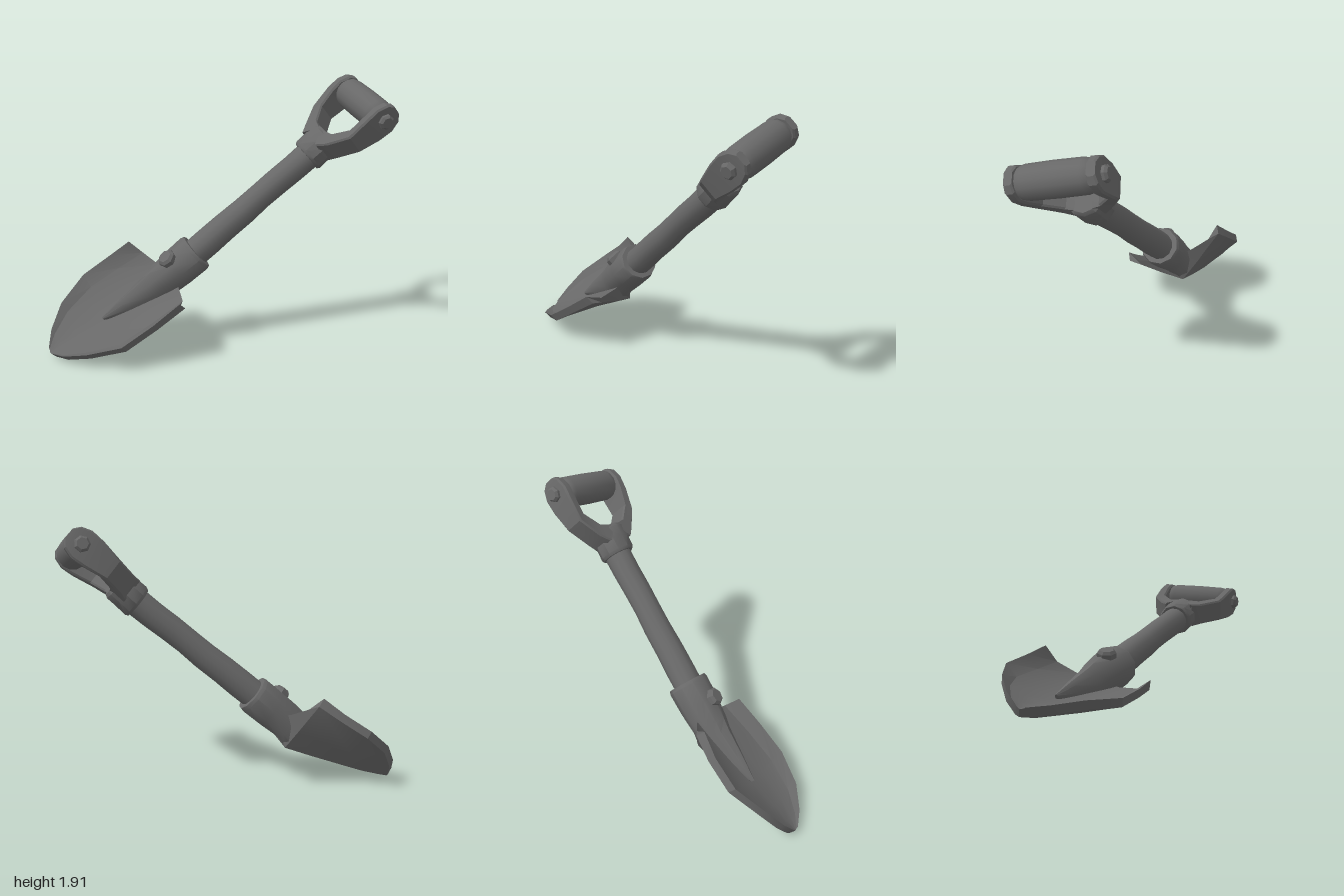
import * as THREE from 'three';
import { mergeVertices, toCreasedNormals } from 'three/addons/utils/BufferGeometryUtils.js';

const steel = new THREE.MeshStandardMaterial({ color: 0x686868 });
steel.name = 'dark grey';

// Closed skin through rings of [x, y, z] points; rings run x to z and are stacked along +y
function loft(rings, crease = 0.6) {
  const n = rings[0].length;
  const index = [];
  for (let i = 0; i < rings.length - 1; i++) {
    for (let j = 0; j < n; j++) {
      const k = (j + 1) % n;
      const a = i * n + j, b = i * n + k, c = a + n, d = b + n;
      index.push(a, c, b, b, c, d);
    }
  }
  // End caps, as strips joining opposite points of the ring
  const e = (rings.length - 1) * n;
  for (let j = 0; j < n / 2 - 1; j++) {
    const a = j, b = j + 1, c = n - 2 - j, d = n - 1 - j;
    index.push(a, b, c, a, c, d);
    index.push(e + a, e + c, e + b, e + a, e + d, e + c);
  }
  const geo = new THREE.BufferGeometry();
  geo.setAttribute('position', new THREE.Float32BufferAttribute(rings.flat(2), 3));
  geo.setIndex(index);
  return toCreasedNormals(geo, crease);
}

// Elliptical ring around the shovel's axis
function ring(y, rx, rz, cz = 0, sides = 12) {
  return Array.from({ length: sides }, (_, i) => {
    const a = ((i + 0.5) / sides) * Math.PI * 2;
    return [rx * Math.cos(a), y, cz + rz * Math.sin(a)];
  });
}

function add(group, name, geometry) {
  const mesh = new THREE.Mesh(geometry, steel);
  mesh.name = name;
  group.add(mesh);
  return mesh;
}

// Bolt head with a chamfered top, pointing along +y
function boltGeometry(r, h) {
  const pts = [[0, 0], [r, 0], [r, h * 0.65], [r * 0.72, h], [0, h]];
  const geo = new THREE.LatheGeometry(pts.map(([x, y]) => new THREE.Vector2(x, y)), 7);
  geo.deleteAttribute('normal');
  geo.deleteAttribute('uv');
  return toCreasedNormals(mergeVertices(geo), 0.3);
}

// Dished blade: [half width, edge y, edge top z, edge thickness, floor y, floor z, spine y, spine z, twist]
function bladeGeometry() {
  const rows = [
    [0.03, -1.25, 0.212, 0.06, -1.26, 0.2, -1.26, 0.15, 0],
    [0.14, -1.17, 0.225, 0.06, -1.18, 0.18, -1.19, 0.115, 0],
    [0.272, -1.015, 0.23, 0.06, -1.05, 0.145, -1.07, 0.06, 0],
    [0.392, -0.785, 0.185, 0.06, -0.85, 0.08, -0.9, -0.005, 0],
    [0.388, -0.54, 0.15, 0.06, -0.58, 0.025, -0.66, -0.095, 0.01],
    [0.362, -0.335, 0.133, 0.07, -0.265, -0.03, -0.45, -0.17, 0.032],
  ];
  const across = [1, 0.78, 0.4, 0, -0.4, -0.78, -1];
  const topRise = { 0: 0, 0.4: 0.12, 0.78: 0.42, 1: 1 };
  const underRise = { 0: 0, 0.4: 0.38, 0.78: 0.78, 1: 1 };
  return loft(rows.map(([w, ye, ze, thick, yf, zf, ys, zs, twist]) => {
    const point = (t, rise, yc, zc, zEdge) => {
      const k = Math.abs(t);
      return [t * w, yc + (ye - yc) * k + t * twist, zc + (zEdge - zc) * rise[k] - t * twist];
    };
    return [
      ...across.map((t) => point(t, topRise, yf, zf, ze)),
      ...[...across].reverse().map((t) => point(t, underRise, ys, zs, ze - thick)),
    ];
  }), 0.4);
}

// Forked arm: each row is [inner x, inner y, outer x, outer y, half depth]
function armGeometry(side) {
  const rows = [
    [0.0, 1.215, 0.11, 1.11, 0.09],
    [0.11, 1.24, 0.17, 1.165, 0.08],
    [0.21, 1.345, 0.28, 1.305, 0.08],
    [0.23, 1.48, 0.298, 1.46, 0.105],
    [0.232, 1.56, 0.3, 1.56, 0.112],
    [0.232, 1.63, 0.298, 1.63, 0.088],
    [0.235, 1.665, 0.292, 1.665, 0.045],
  ];
  return loft(rows.map(([xi, yi, xo, yo, h]) => {
    const c = 0.012;
    const pts = [
      [xo, yo, -h + c], [xo, yo, h - c], [xo - c, yo, h], [xi + c, yi, h],
      [xi, yi, h - c], [xi, yi, -h + c], [xi + c, yi, -h], [xo - c, yo, -h],
    ].map(([x, y, z]) => [x * side, y, z + 0.02]);
    return side > 0 ? pts : pts.reverse();
  }), 0.5);
}

export function createModel() {
  const model = new THREE.Group();
  model.name = 'shovel';

  // Slanted frame: x across the blade, y along the shaft, z out of the blade's hollow
  const along = new THREE.Vector3(0.569, 0.645, -0.512).normalize();
  const across = new THREE.Vector3(0.81, -0.3, 0.51);
  across.addScaledVector(along, -across.dot(along)).normalize();
  const out = new THREE.Vector3().crossVectors(across, along);
  const shovel = new THREE.Group();
  shovel.name = 'slantedShovel';
  shovel.quaternion.setFromRotationMatrix(new THREE.Matrix4().makeBasis(across, along, out));
  shovel.position.set(-0.17, 0.7, 0.1);
  model.add(shovel);

  // Blade, turned slightly around the shaft
  const blade = add(shovel, 'blade', bladeGeometry());
  blade.rotation.y = 0.095;

  // Socket with a long tapering tongue lying on the blade
  add(shovel, 'socket', loft([
    ring(-0.835, 0.01, 0.014, 0.095, 10),
    ring(-0.66, 0.055, 0.09, 0.03, 10),
    ring(-0.44, 0.1, 0.14, -0.015, 10),
    ring(-0.36, 0.115, 0.135, 0, 10),
    ring(-0.2, 0.14, 0.142, 0, 10),
    ring(-0.045, 0.15, 0.143, 0, 10),
    ring(-0.02, 0.14, 0.135, 0, 10),
  ], 0.7));

  const socketBolt = add(shovel, 'socketBolt', boltGeometry(0.066, 0.052));
  socketBolt.rotation.x = Math.PI / 2;
  socketBolt.position.set(0.012, -0.2, 0.12);

  // Slightly uneven shaft
  add(shovel, 'shaft', loft([
    [-0.12, 0.1, 0], [0.08, 0.102, 0], [0.25, 0.099, 0.002],
    [0.42, 0.096, -0.002], [0.58, 0.092, 0.003], [0.72, 0.094, 0.003],
    [0.88, 0.095, -0.002], [1.1, 0.098, 0],
  ].map(([y, r, z]) => ring(y, r, r, z)), 0.8));

  // Handle, turned slightly the other way
  const handle = new THREE.Group();
  handle.name = 'handle';
  handle.rotation.y = -0.07;
  handle.position.y = -0.01;
  shovel.add(handle);

  // Collar below the fork
  add(handle, 'collar', loft([
    ring(1.02, 0.116, 0.112, 0.003, 10),
    ring(1.04, 0.128, 0.122, 0.003, 10),
    ring(1.13, 0.132, 0.118, 0.008, 10),
    ring(1.205, 0.128, 0.116, 0.01, 10),
    ring(1.228, 0.1, 0.1, 0.01, 10),
  ], 0.6));

  // Fork arms and grip bolts
  for (const [side, label] of [[1, 'left'], [-1, 'right']]) {
    add(handle, label + 'Arm', armGeometry(side));
    const bolt = add(handle, label + 'GripBolt', boltGeometry(0.054, 0.045));
    bolt.rotation.z = -side * Math.PI / 2;
    bolt.position.set(side * 0.288, 1.56, 0.02);
  }

  // Barrel grip with bevelled ends
  const grip = add(handle, 'grip', loft([
    [-0.245, 0.085], [-0.22, 0.102], [-0.19, 0.109], [0, 0.112], [0.19, 0.109], [0.22, 0.102], [0.245, 0.085],
  ].map(([y, r]) => ring(y, r, r, 0, 14)), 0.6));
  grip.rotation.z = Math.PI / 2;
  grip.position.set(0, 1.56, 0.02);

  return model;
}
